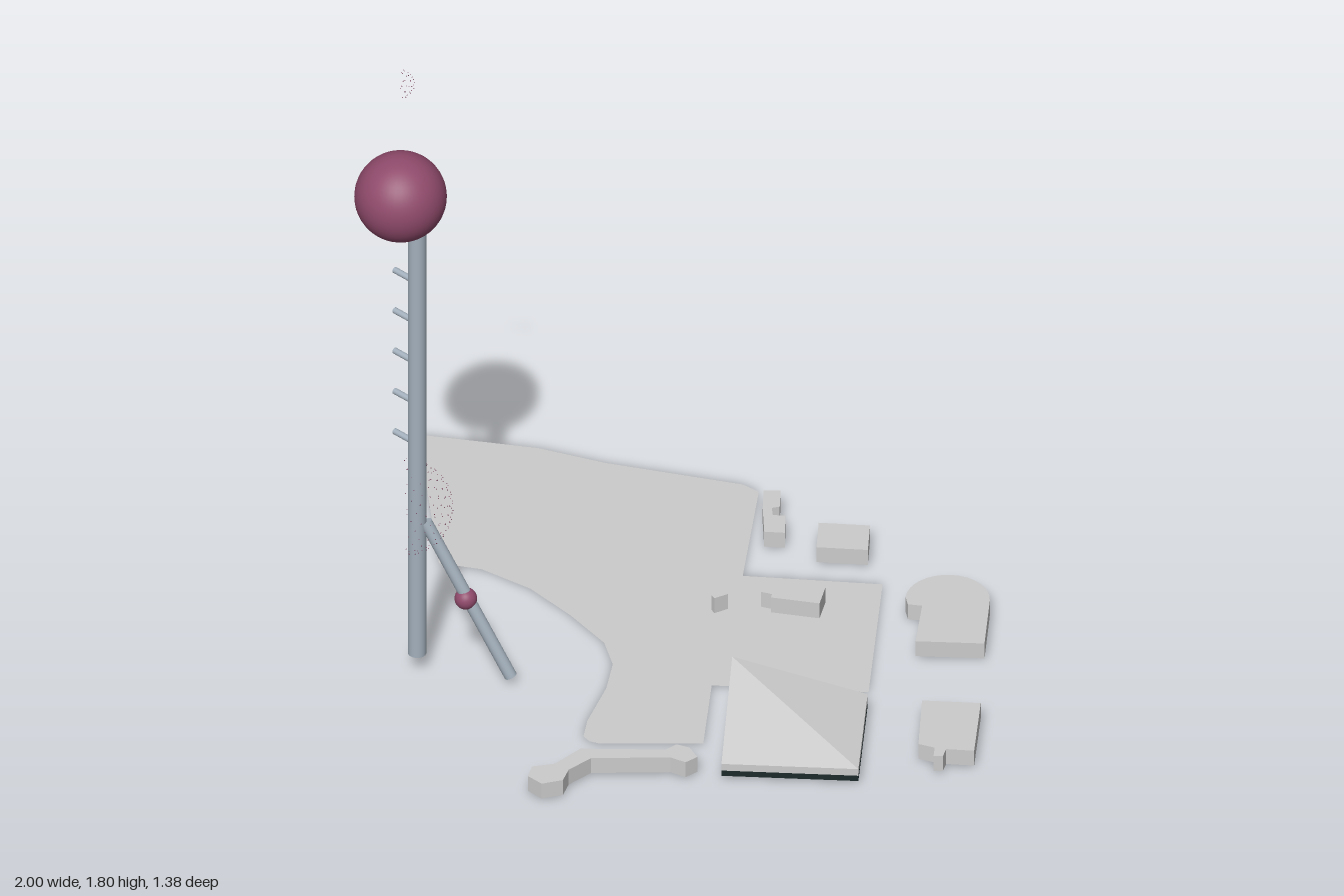
import * as THREE from 'three';
import { mergeGeometries } from 'three/addons/utils/BufferGeometryUtils.js';

const mat = (color, extra = {}) => new THREE.MeshStandardMaterial({ color, ...extra });

export function createModel() {
  const model = new THREE.Group();
  const grey = mat(0xcccccc, { flatShading: true });
  const steel = mat(0xa3b0bc);
  const plum = mat(0x8f4a6b);
  const dark = mat(0x1c2a2a, { flatShading: true });

  const add = (name, geometry, material) => {
    const mesh = new THREE.Mesh(geometry, material);
    mesh.name = name;
    model.add(mesh);
    return mesh;
  };

  // Plan outlines are [x, z] pairs
  const outline = (pts) => new THREE.Shape(pts.map(([x, z]) => new THREE.Vector2(x, -z)));
  const prism = (name, pts, y0, y1, material = grey) => {
    const g = new THREE.ExtrudeGeometry(outline(pts), { depth: y1 - y0, bevelEnabled: false });
    g.rotateX(-Math.PI / 2).translate(0, y0, 0);
    return add(name, g, material);
  };
  const rod = (name, from, to, radius, material) => {
    const a = new THREE.Vector3(...from), b = new THREE.Vector3(...to);
    const dir = b.clone().sub(a);
    const mesh = add(name, new THREE.CylinderGeometry(radius, radius, dir.length(), 24), material);
    mesh.position.copy(a).add(b).multiplyScalar(0.5);
    mesh.quaternion.setFromUnitVectors(new THREE.Vector3(0, 1, 0), dir.normalize());
  };
  const ball = (name, radius, position) =>
    add(name, new THREE.SphereGeometry(radius, 40, 28), plum).position.set(...position);

  // Flat ground with a curved bay along its front
  const ground = new THREE.ShapeGeometry(outline([
    [-1, -0.24], [-0.745, -0.405], [-0.58, -0.475], [-0.27, -0.645], [-0.22, -0.65],
    [0.005, -0.36], [0.28, -0.575], [0.58, -0.215], [0.28, 0.035], [0.44, 0.23],
    [0.255, 0.41], [0.23, 0.42], [0.205, 0.415], [0.165, 0.36], [0.1, 0.225], [0.04, 0.14],
    [-0.04, 0.088], [-0.185, 0.06], [-0.335, 0.047], [-0.48, 0.07], [-0.575, 0.125],
  ])).rotateX(-Math.PI / 2);
  add('ground', ground, mat(0xcccccc, { side: THREE.DoubleSide }));

  // Low buildings
  const arch = [];
  for (let i = 0; i <= 16; i++) {
    const a = -0.68 - (i / 16) * Math.PI;
    arch.push([0.49 + 0.105 * Math.cos(a), -0.59 + 0.105 * Math.sin(a)]);
  }
  const buildings = {
    steppedBuilding: [[-0.165, -0.61], [-0.135, -0.64], [-0.088, -0.588], [-0.098, -0.57],
      [-0.075, -0.55], [-0.05, -0.57], [0, -0.515], [-0.04, -0.483], [-0.115, -0.555]],
    squareBuilding: [[0.03, -0.605], [0.13, -0.685], [0.2, -0.605], [0.1, -0.525]],
    roundedBuilding: [[0.56, -0.403], [0.69, -0.515], ...arch, [0.435, -0.505], [0.465, -0.525]],
    sideBuilding: [[0.75, -0.23], [0.863, -0.323], [0.995, -0.163], [0.94, -0.12],
      [0.955, -0.093], [0.938, -0.077], [0.915, -0.105], [0.875, -0.088]],
    innerBuilding: [[0.11, -0.34], [0.238, -0.414], [0.275, -0.355], [0.17, -0.29],
      [0.162, -0.302], [0.135, -0.29]],
    kiosk: [[0.067, -0.232], [0.083, -0.227], [0.072, -0.19], [0.056, -0.195]],
    linkBuilding: [[0.445, 0.33], [0.478, 0.318], [0.52, 0.334], [0.515, 0.371], [0.473, 0.382],
      [0.334, 0.521], [0.329, 0.596], [0.35, 0.638], [0.323, 0.686], [0.275, 0.686],
      [0.254, 0.649], [0.286, 0.601], [0.286, 0.51], [0.441, 0.366]],
  };
  for (const [name, pts] of Object.entries(buildings)) prism(name, pts, 0.005, 0.05);

  // Pavilion: dark base under a folded roof with one raised corner
  const corners = [[0.375, 0.06], [0.58, 0.31], [0.84, 0.09], [0.63, -0.16]];
  prism('pavilionBase', corners, 0.01, 0.026, dark);
  const low = corners.map(([x, z]) => [x, 0.026, z]);
  const high = corners.map(([x, z], i) => [x, i === 0 ? 0.146 : 0.046, z]);
  const faces = [high[0], high[1], high[2], high[0], high[2], high[3]];
  for (let i = 0; i < 4; i++) {
    const j = (i + 1) % 4;
    faces.push(low[i], low[j], high[j], low[i], high[j], high[i]);
  }
  const roof = new THREE.BufferGeometry();
  roof.setAttribute('position', new THREE.Float32BufferAttribute(faces.flat(), 3));
  roof.computeVertexNormals();
  add('pavilionRoof', roof, grey);

  // Tower with rungs, top ball and jointed strut
  rod('mast', [-0.292, 0.052, 0.495], [-0.292, 1.36, 0.495], 0.023, steel);
  for (let i = 0; i < 6; i++) {
    const y = 0.685 + i * 0.122;
    rod('rung', [-0.37, y, 0.495], [-0.3, y, 0.495], 0.008, steel);
  }
  ball('topBall', 0.115, [-0.33, 1.425, 0.515]);
  rod('strut', [-0.085, 0.022, 0.375], [-0.275, 0.45, 0.482], 0.016, steel);
  ball('strutBall', 0.028, [-0.185, 0.237, 0.432]);

  // Sparse specks lying on partial spheres
  const specks = (name, radius, count, size, center) => {
    const parts = [];
    for (let i = 0; i < count; i++) {
      const y = 1 - (2 * (i + 0.5)) / count, r = Math.sqrt(1 - y * y), a = i * 2.39996;
      const x = r * Math.cos(a), z = r * Math.sin(a);
      if (x - z < 0) continue;
      parts.push(new THREE.TetrahedronGeometry(size).translate(x * radius, y * radius, z * radius));
    }
    add(name, mergeGeometries(parts), plum).position.set(...center);
  };
  specks('lowerSpecks', 0.12, 300, 0.002, [-0.32, 0.487, 0.51]);
  specks('upperSpecks', 0.035, 60, 0.002, [-0.33, 1.765, 0.515]);

  return model;
}
